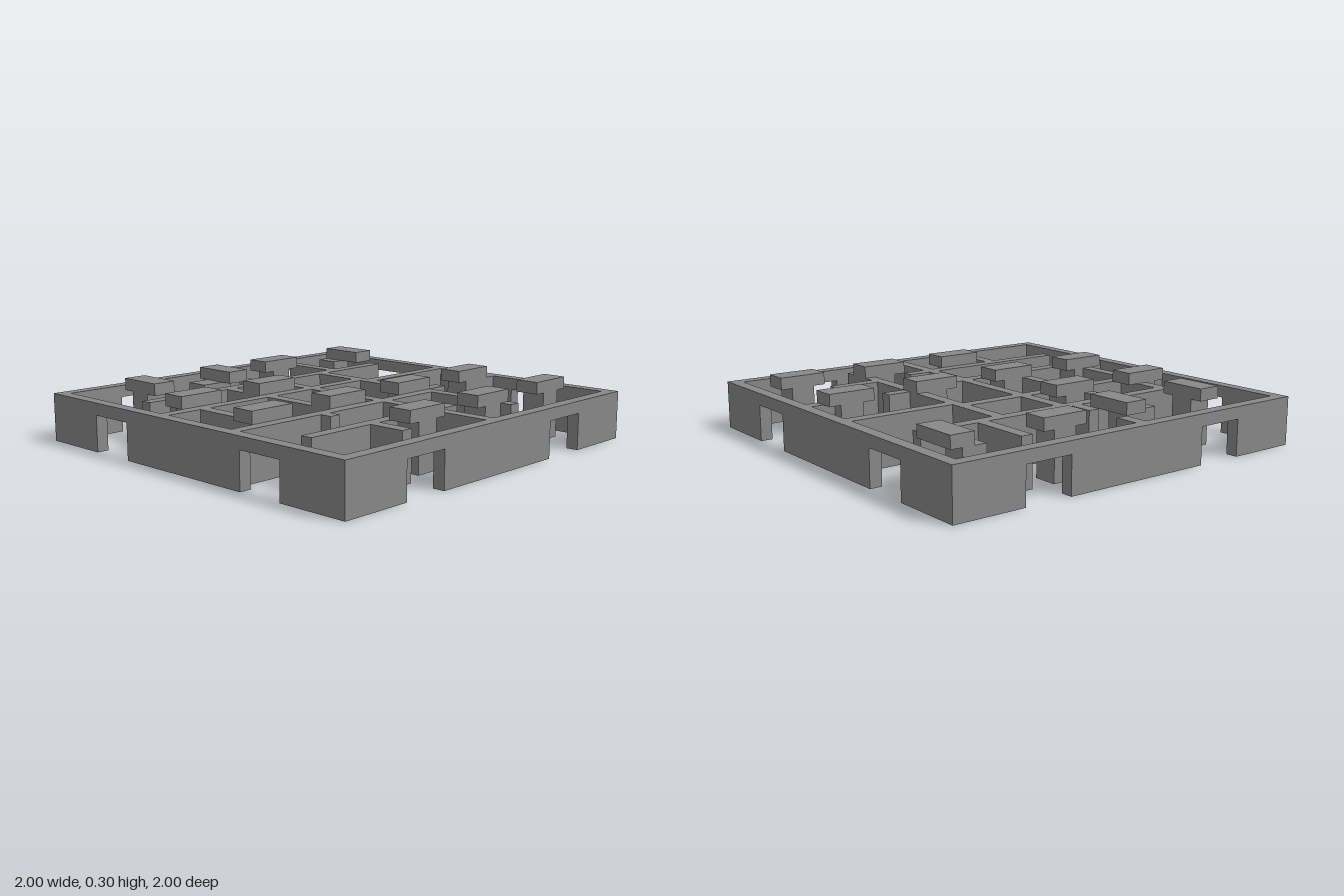
import * as THREE from 'three';

const CELLS = 33;
const U = 2 / CELLS; // one grid cell
const WALL_H = 4, DOOR_H = 3, CAP_H = 1;

export function createModel() {
  const model = new THREE.Group();
  const stone = new THREE.MeshStandardMaterial({ color: 0x888888 });
  stone.name = 'grey stone';

  // Box given in grid cells: x0..x1, z0..z1, y0..y1
  function block(name, [x0, x1, z0, z1], y0, y1) {
    const mesh = new THREE.Mesh(
      new THREE.BoxGeometry((x1 - x0) * U, (y1 - y0) * U, (z1 - z0) * U), stone);
    mesh.position.set((x0 + x1) / 2 * U - 1, (y0 + y1) / 2 * U, (z0 + z1) / 2 * U - 1);
    mesh.name = name;
    model.add(mesh);
  }

  // Outer walls: one outline with two doorways, turned to all four sides
  const outline = [[0, 0], [6, 0], [6, DOOR_H], [10, DOOR_H], [10, 0], [23, 0], [23, DOOR_H],
    [27, DOOR_H], [27, 0], [33, 0], [33, WALL_H], [0, WALL_H]];
  const shape = new THREE.Shape(outline.map(([x, y]) => new THREE.Vector2(x * U - 1, y * U)));
  const wallGeometry = new THREE.ExtrudeGeometry(shape, { depth: U, bevelEnabled: false });
  wallGeometry.translate(0, 0, 1 - U);
  ['frontWall', 'leftWall', 'backWall', 'rightWall'].forEach((name, i) => {
    const wall = new THREE.Mesh(wallGeometry, stone);
    wall.rotation.y = i * Math.PI / 2;
    wall.name = name;
    model.add(wall);
  });

  // Inner partitions
  const partitions = [
    // running front to back
    [8, 9, 3, 30], [14, 15, 1, 10], [13, 14, 11, 32], [21, 22, 11, 32],
    [20, 21, 1, 5], [20, 21, 8, 10], [25, 26, 6, 10], [26, 27, 14, 30],
    // running side to side
    [3, 8, 8, 9], [9, 30, 10, 11], [9, 32, 16, 17], [1, 3, 17, 18], [6, 8, 17, 18],
    [9, 13, 21, 22], [14, 21, 21, 22], [9, 13, 27, 28], [14, 21, 28, 29],
    [22, 23, 23, 24], [27, 30, 23, 24],
  ];
  partitions.forEach((p) => block('partition', p, 0, WALL_H));

  // Raised caps lying lengthwise, each on a square pillar
  const caps = [[3, 10], [11, 18], [11, 26], [19, 2], [19, 10], [19, 18], [19, 26],
    [27, 2], [27, 10], [27, 18]];
  caps.forEach(([x, z]) => {
    block('cap', [x, x + 2, z, z + 4], WALL_H, WALL_H + CAP_H);
    block('pillar', [x, x + 2, z + 1, z + 3], 0, WALL_H);
  });

  // Raised caps lying crosswise, with pillars set off centre
  const crossCaps = [[2, [3, 5, 3, 5]], [18, [4, 6, 19, 22]], [26, [4, 6, 26, 28]]];
  crossCaps.forEach(([z, pillar]) => {
    block('crossCap', [3, 7, z, z + 2], WALL_H, WALL_H + CAP_H);
    block('pillar', pillar, 0, WALL_H);
  });

  return model;
}
